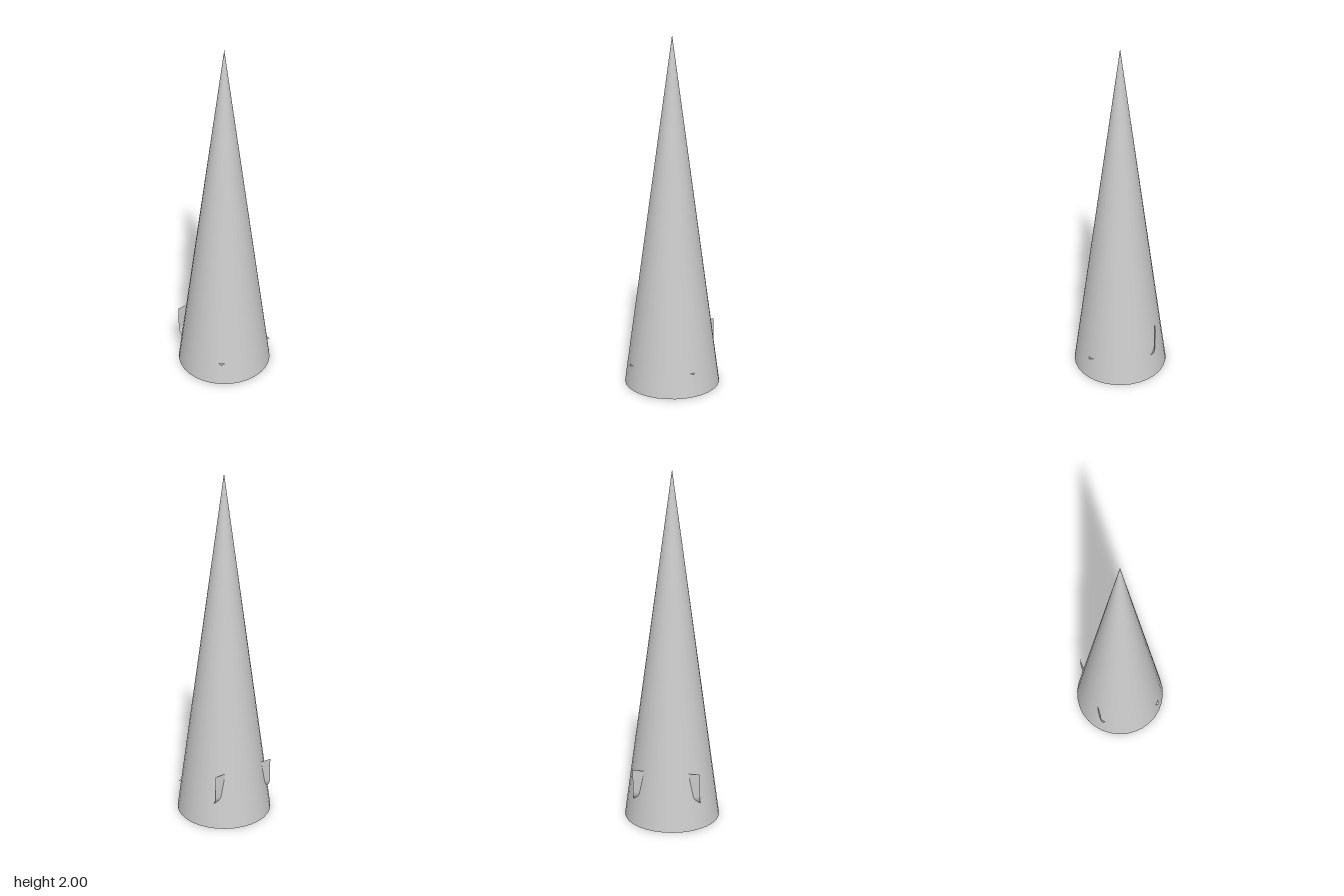
import * as THREE from 'three';

const HEIGHT = 2, RADIUS = 0.274;
const HALF = 0.192;                    // half width and depth of the sweep
const FLOOR = 0.137, TOP = 0.33, BEND = 0.06;

export function createModel() {
  const group = new THREE.Group();
  const material = new THREE.MeshStandardMaterial({ color: 0xcccccc, side: THREE.DoubleSide });

  // tall hollow cone, open at the bottom
  const cone = new THREE.Mesh(new THREE.ConeGeometry(RADIUS, HEIGHT, 32, 1, true), material);
  cone.name = 'coneShell';
  cone.position.y = HEIGHT / 2;
  group.add(cone);

  // profile (z, y): floor from the front, rounded bend, upright back
  const profile = [[HALF, FLOOR]];
  const steps = 10;
  for (let i = 0; i <= steps; i++) {
    const a = (i / steps) * Math.PI / 2;
    profile.push([-HALF + BEND - BEND * Math.sin(a), FLOOR + BEND - BEND * Math.cos(a)]);
  }
  profile.push([-HALF, TOP]);

  // thin curved sheet whose corners poke through the cone
  const sheet = new THREE.PlaneGeometry(HALF * 2, 1, 1, profile.length - 1);
  const pos = sheet.attributes.position;
  for (let i = 0; i < pos.count; i++) {
    const [z, y] = profile[profile.length - 1 - Math.floor(i / 2)];
    pos.setXYZ(i, pos.getX(i), y, z);
  }
  sheet.computeVertexNormals();
  const sweep = new THREE.Mesh(sheet, material);
  sweep.name = 'curvedSheet';
  group.add(sweep);

  return group;
}
